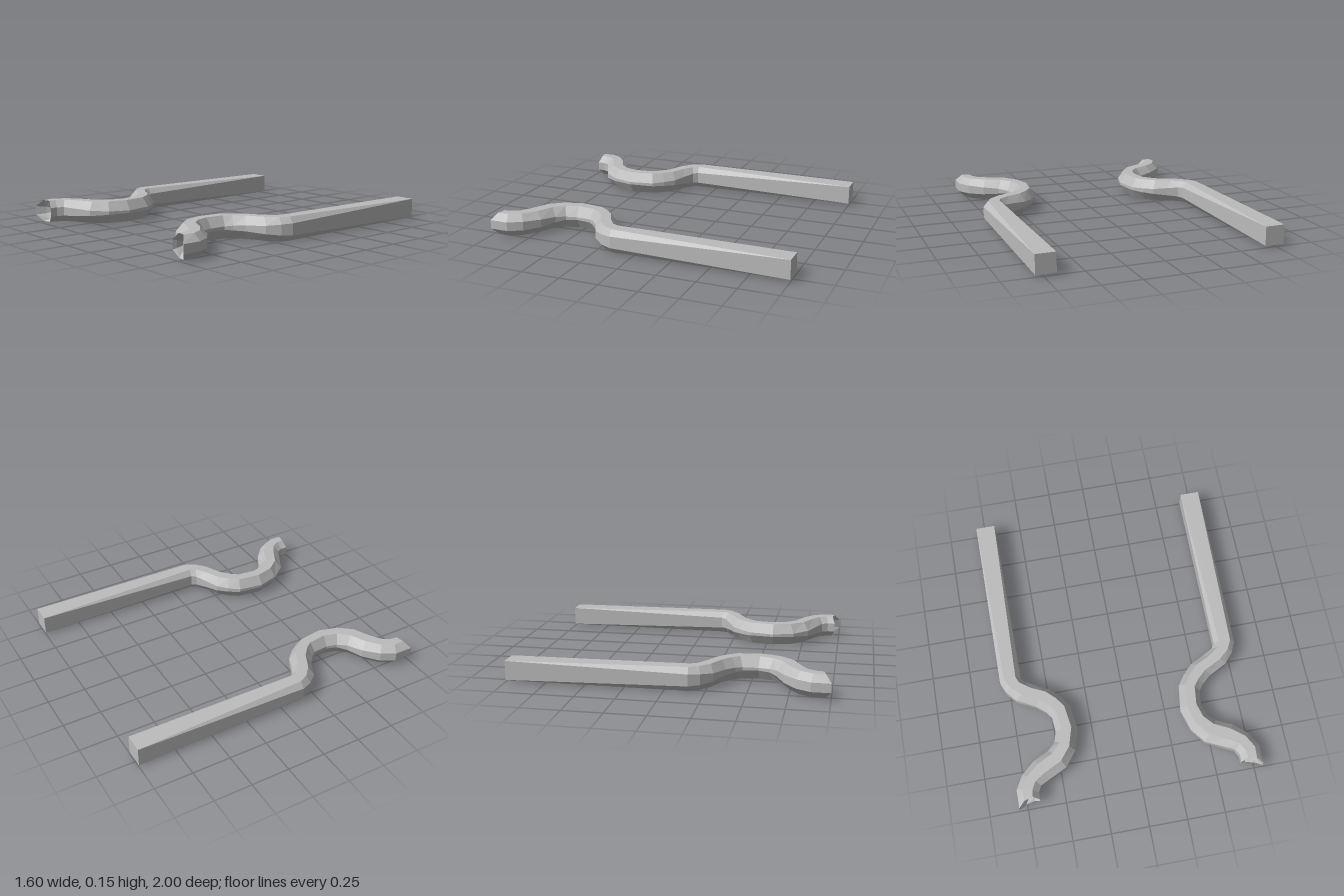
import * as THREE from 'three';

// Each station: inner edge x,z, outer edge x,z, half height,
// width of the flat top (0..1), height of the flat side (0..1), forward bow of the sides
const PIPE = [
  [0.672, -1.0, 0.80, -1.0, 0.062, 0.99, 0.99, 0],
  [0.66, 0.14, 0.80, 0.15, 0.075, 0.55, 0.5, 0],
  [0.64, 0.17, 0.77, 0.22, 0.075, 0.5, 0.45, 0],
  [0.565, 0.21, 0.71, 0.29, 0.074, 0.45, 0.35, 0],
  [0.48, 0.25, 0.59, 0.35, 0.073, 0.45, 0.25, 0],
  [0.42, 0.31, 0.53, 0.40, 0.073, 0.45, 0.2, 0],
  [0.37, 0.38, 0.50, 0.44, 0.073, 0.45, 0.15, 0],
  [0.345, 0.55, 0.49, 0.54, 0.073, 0.45, 0.12, 0],
  [0.385, 0.69, 0.51, 0.61, 0.073, 0.45, 0.15, 0],
  [0.46, 0.79, 0.56, 0.66, 0.073, 0.45, 0.25, 0],
  [0.58, 0.85, 0.66, 0.71, 0.073, 0.45, 0.35, 0],
  [0.64, 0.88, 0.75, 0.79, 0.073, 0.45, 0.4, 0],
  [0.66, 0.92, 0.80, 0.88, 0.073, 0.45, 0.4, 0],
  [0.66, 0.95, 0.80, 0.982, 0.072, 0.4, 0.4, 0.03],
];
// Flat cap that closes the square rear end
const END_CAP = [[0.736, -1, 0.736, -1, 0, 0.99, 0.99, 0], PIPE[0]];
// Hollow outlet, sweeping inward along the bend from the rim to its bottom
const MOUTH = [
  PIPE[PIPE.length - 1],
  [0.668, 0.935, 0.765, 0.935, 0.056, 0.45, 0.4, 0.01],
  [0.672, 0.90, 0.725, 0.895, 0.03, 0.45, 0.4, 0],
  [0.69, 0.88, 0.69, 0.88, 0, 0.45, 0.4, 0],
];

// Skins eight-sided sections; side is +1 or -1 for the mirrored pipe
function skin(stations, side) {
  const pos = [], index = [];
  for (const [lx, lz, rx, rz, h, t, s, bow] of stations) {
    const loop = [[1, -s], [1, s], [t, 1], [-t, 1], [-1, s], [-1, -s], [-t, -1], [t, -1]];
    for (const [u, v] of loop) {
      const k = (u + 1) / 2;
      pos.push(side * (lx + (rx - lx) * k), 0.075 + h * v, lz + (rz - lz) * k + bow * (u * u - 0.4));
    }
  }
  for (let i = 0; i < stations.length - 1; i++) {
    for (let j = 0; j < 8; j++) {
      const a = i * 8 + j, b = i * 8 + (j + 1) % 8, c = a + 8, d = b + 8;
      if (side > 0) index.push(a, b, c, b, d, c);
      else index.push(a, c, b, b, c, d);
    }
  }
  const g = new THREE.BufferGeometry();
  g.setAttribute('position', new THREE.Float32BufferAttribute(pos, 3));
  g.setIndex(index);
  const flat = g.toNonIndexed();
  flat.computeVertexNormals();
  return flat;
}

export function createModel() {
  const model = new THREE.Group();
  model.name = 'pipePair';
  const metal = new THREE.MeshStandardMaterial({ color: 0xbcbcbc });
  metal.name = 'grey metal';

  for (const side of [1, -1]) {
    const pipe = new THREE.Group();
    pipe.name = side > 0 ? 'leftPipe' : 'rightPipe';
    for (const [name, stations] of [['bentTube', PIPE], ['rearCap', END_CAP], ['outletMouth', MOUTH]]) {
      const mesh = new THREE.Mesh(skin(stations, side), metal);
      mesh.name = name;
      pipe.add(mesh);
    }
    model.add(pipe);
  }
  return model;
}
